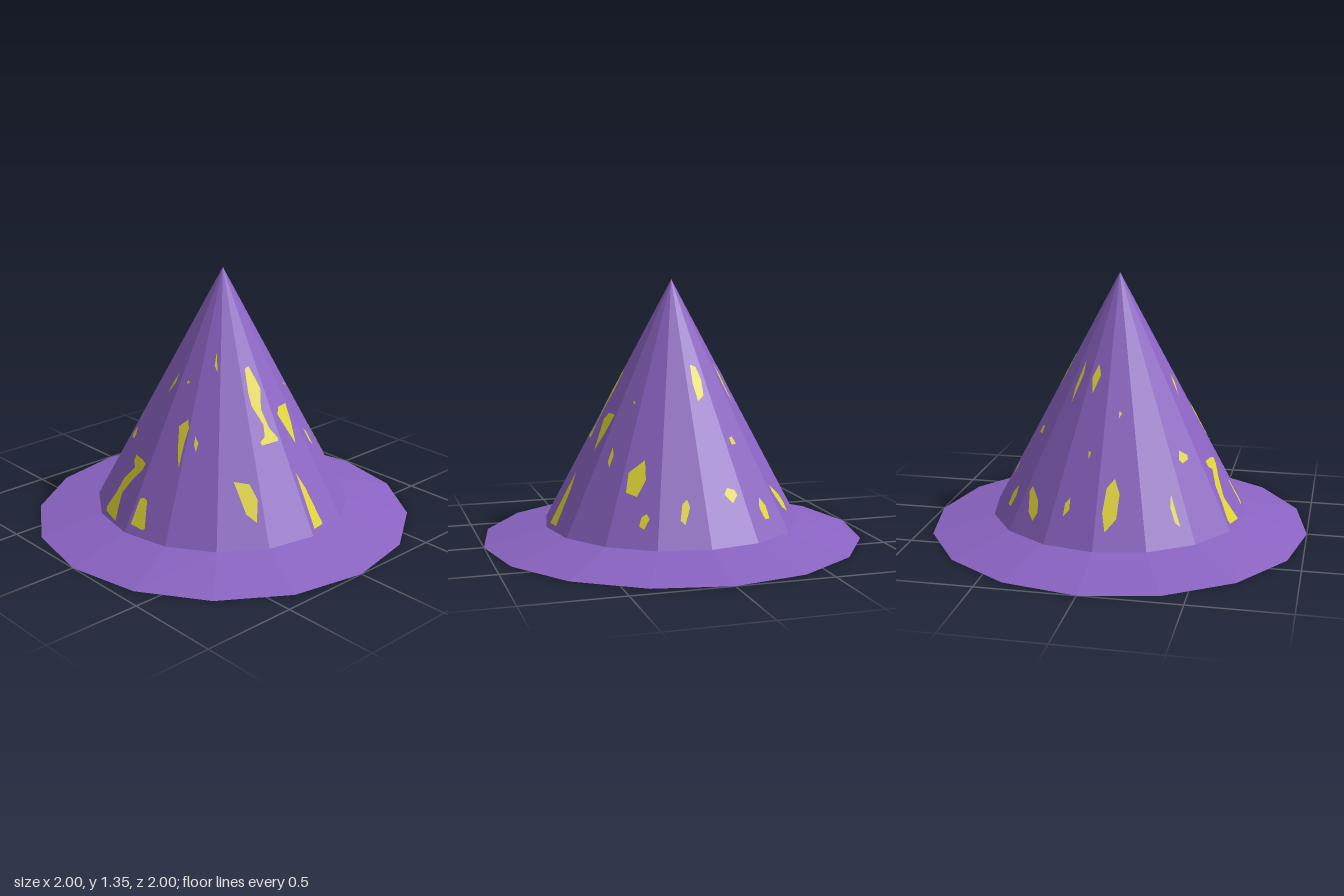
import * as THREE from 'three';

const SIDES = 16, R = 0.675, RIM = 0.085, TOP = 1.352;
const STEP = (Math.PI * 2) / SIDES, APOTHEM = R * Math.cos(STEP / 2), RISE = TOP - RIM;
const facets = Array.from({ length: SIDES }, (_, k) => (k + 0.5) * STEP);

// Patch outlines: front = [x, y], side = [z, y] on the +x side, plan = [x, z]
const front = [
  [[-.14, .41], [-.07, .41], [-.03, .40], [-.04, .37], [-.09, .31], [-.14, .23], [-.14, .21], [-.11, .10],
    [-.22, .11], [-.23, .13], [-.19, .22], [-.17, .29], [-.11, .36], [-.14, .38]],
  [[.02, .25], [.04, .26], [.065, .25], [.11, .13], [.10, .12], [.02, .13]],
  [[-.30, .46], [-.27, .50], [-.24, .47], [-.25, .45], [-.29, .44]],
  [[-.42, .32], [-.45, .24], [-.475, .17], [-.48, .19], [-.455, .26]],
  [[-.03, .84], [-.03, .79], [-.065, .73], [-.05, .79]],
  [[.043, .82], [.06, .81], [.045, .80]],
  [[.13, .96], [.17, .87], [.145, .90]],
  [[.09, .61], [.13, .65], [.15, .61], [.155, .54], [.175, .43], [.14, .49]],
  [[.19, .58], [.215, .55], [.22, .51], [.20, .54]],
];
const side = [
  [[.30, .385], [.24, .37], [.23, .30], [.27, .20], [.30, .24]],
  [[-.22, .525], [-.25, .49], [-.265, .43], [-.24, .455]],
  [[-.185, .755], [-.205, .74], [-.195, .735]],
  [[-.035, .645], [-.06, .675], [-.125, .675], [-.12, .59], [-.10, .49], [-.07, .56]],
  [[-.025, .375], [-.06, .29], [-.10, .11], [-.025, .11]],
  [[.07, .88], [.045, .89], [.03, .83], [.02, .78], [.055, .69], [.045, .60], [.015, .55], [.02, .535],
    [.115, .53], [.12, .545], [.085, .565], [.07, .62], [.10, .71], [.095, .77]],
];
const plan = [
  [[-.62, .05], [-.58, .03], [-.52, .04], [-.49, .075], [-.52, .105], [-.58, .10]],
  [[-.35, .065], [-.33, .065], [-.335, .08]],
  [[-.29, -.08], [-.25, -.09], [-.22, -.06], [-.25, -.045]],
  [[-.27, -.195], [-.23, -.18], [-.18, -.135], [-.215, -.14]],
  [[-.08, -.29], [-.045, -.31], [-.03, -.27], [-.03, -.22], [-.06, -.22], [-.08, -.25]],
  [[-.23, -.36], [-.20, -.38], [-.19, -.365], [-.21, -.35]],
  [[-.52, -.34], [-.48, -.37], [-.42, -.38], [-.41, -.365], [-.475, -.32], [-.51, -.315]],
  [[-.36, -.5], [-.33, -.52], [-.305, -.5], [-.315, -.465], [-.35, -.47]],
  [[-.18, -.52], [-.15, -.545], [-.11, -.53], [-.13, -.51], [-.17, -.51]],
  [[.075, -.56], [.11, -.595], [.13, -.58], [.11, -.545], [.085, -.54]],
  [[.27, -.53], [.30, -.54], [.32, -.52], [.305, -.505], [.28, -.51]],
  [[.26, -.43], [.31, -.445], [.355, -.405], [.33, -.365], [.25, -.38]],
  [[-.57, -.17], [-.54, -.165], [-.53, -.14], [-.56, -.14]],
  [[-.45, -.065], [-.43, -.07], [-.435, -.055]],
];

// Depth of the faceted cone at height y, u across from the centre line
function depth(u, y) {
  const ap = (APOTHEM * (TOP - y)) / RISE;
  return Math.min(...facets.filter((a) => Math.cos(a) > 0.01).map((a) => (ap - u * Math.sin(a)) / Math.cos(a)));
}

// Keep the part of a plan outline where nx * x + nz * z >= 0
function clip(points, nx, nz) {
  const out = [];
  points.forEach((p, i) => {
    const q = points[(i + 1) % points.length];
    const dp = nx * p[0] + nz * p[1], dq = nx * q[0] + nz * q[1];
    if (dp >= 0) out.push(p);
    if (dp * dq < 0) {
      const t = dp / (dp - dq);
      out.push([p[0] + (q[0] - p[0]) * t, p[1] + (q[1] - p[1]) * t]);
    }
  });
  return out;
}

// Lay outlines on the cone facets, just outside (+1) or just inside (-1)
function patchGeometry(outlines, sign) {
  const pos = [];
  for (const a of facets) {
    const s = Math.sin(a), c = Math.cos(a);
    const normal = new THREE.Vector3(s, APOTHEM / RISE, c).normalize().multiplyScalar(0.003 * sign);
    for (const outline of outlines) {
      const a0 = a - STEP / 2, a1 = a + STEP / 2;
      let poly = clip(outline, Math.cos(a0), -Math.sin(a0));
      poly = clip(poly, -Math.cos(a1), Math.sin(a1));
      if (poly.length < 3) continue;
      const flat = poly.map((p) => new THREE.Vector2(p[0], p[1]));
      for (const tri of THREE.ShapeUtils.triangulateShape(flat, [])) {
        const v = tri.map((i) => flat[i]);
        const up = (v[1].y - v[0].y) * (v[2].x - v[0].x) - (v[1].x - v[0].x) * (v[2].y - v[0].y);
        if (up * sign < 0) v.reverse();
        for (const { x, y: z } of v) {
          const y = TOP - ((x * s + z * c) * RISE) / APOTHEM;
          pos.push(x + normal.x, y + normal.y, z + normal.z);
        }
      }
    }
  }
  const geo = new THREE.BufferGeometry();
  geo.setAttribute('position', new THREE.Float32BufferAttribute(pos, 3));
  geo.computeVertexNormals();
  return geo;
}

export function createModel() {
  const hat = new THREE.Group();
  hat.name = 'pointedHat';
  const make = (name, color) => {
    const m = new THREE.MeshStandardMaterial({ color, flatShading: true, side: THREE.DoubleSide });
    m.name = name;
    return m;
  };
  const purple = make('purple cloth', 0x8a63c2);
  const yellow = make('yellow patch', 0xe0d634);
  const add = (name, geo, mat, y = 0) => {
    const mesh = new THREE.Mesh(geo, mat);
    mesh.name = name;
    mesh.position.y = y;
    hat.add(mesh);
  };

  // Open cone and sloping brim
  add('crown', new THREE.CylinderGeometry(0, R, RISE, SIDES, 1, true), purple, RIM + RISE / 2);
  add('brim', new THREE.CylinderGeometry(R, 1, RIM, SIDES, 1, true), purple, RIM / 2);

  // Yellow patches show on both faces of the cloth
  const outlines = [
    ...front.map((o) => o.map(([x, y]) => [x, depth(x, y)])),
    ...side.map((o) => o.map(([z, y]) => [depth(z, y), z])),
    ...plan,
  ];
  add('outerPatches', patchGeometry(outlines, 1), yellow);
  add('innerPatches', patchGeometry(outlines, -1), yellow);
  return hat;
}
